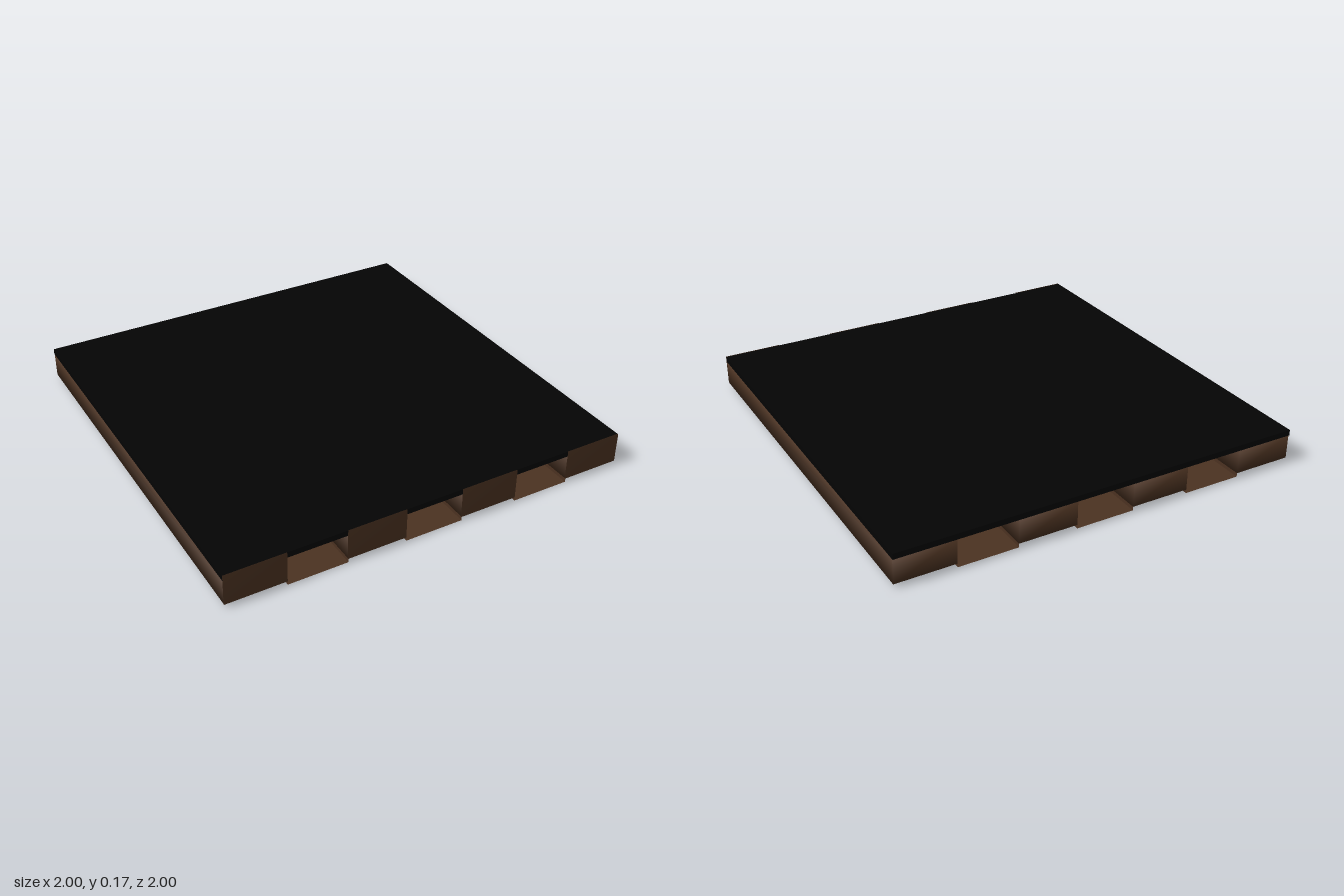
import * as THREE from 'three';
import { mergeVertices } from 'three/addons/utils/BufferGeometryUtils.js';

const brown = new THREE.MeshStandardMaterial({ color: 0x4b3221, side: THREE.DoubleSide });
brown.name = 'darkWood';
const black = new THREE.MeshStandardMaterial({ color: 0x040404 });
black.name = 'blackTop';

// Box given by its limits; soft boxes share normals across their edges
function box(name, material, [x0, x1], [y0, y1], [z0, z1], soft) {
  let g = new THREE.BoxGeometry(x1 - x0, y1 - y0, z1 - z0);
  if (soft) {
    g.deleteAttribute('normal');
    g.deleteAttribute('uv');
    g = mergeVertices(g);
    g.computeVertexNormals();
  }
  g.translate((x0 + x1) / 2, (y0 + y1) / 2, (z0 + z1) / 2);
  const mesh = new THREE.Mesh(g, material);
  mesh.name = name;
  return mesh;
}

export function createModel() {
  const model = new THREE.Group();
  model.name = 'slattedPlatform';
  const top = 0.166, under = 0.138, beamBottom = 0.018;
  const step = 2 / 7;

  // Black deck
  model.add(box('deck', black, [-1, 1], [under, top], [-1, 0.995]));

  for (let i = 0; i < 7; i++) {
    const x0 = -1 + i * step, x1 = x0 + step;
    if (i % 2 === 0) {
      // Beam with a front plate that covers the deck edge
      model.add(box('beam', brown, [x0, x1], [beamBottom, under], [-0.995, 0.995], true));
      model.add(box('beamFrontPlate', brown, [x0, x1], [beamBottom, top], [0.995, 1], true));
    } else {
      // Thin open-ended channel between two beams
      const channel = new THREE.Group();
      channel.name = 'channel';
      const floor = new THREE.Mesh(new THREE.PlaneGeometry(step, 1.995), brown);
      floor.name = 'channelFloor';
      floor.rotation.x = Math.PI / 2;
      floor.position.set((x0 + x1) / 2, 0, 0.0025);
      channel.add(floor);
      for (const side of [-1, 1]) {
        const lip = new THREE.Mesh(new THREE.PlaneGeometry(1.995, beamBottom), brown);
        lip.name = 'channelLip';
        lip.rotation.y = side * Math.PI / 2;
        lip.position.set(side < 0 ? x0 : x1, beamBottom / 2, 0.0025);
        channel.add(lip);
      }
      model.add(channel);
    }
  }
  return model;
}
